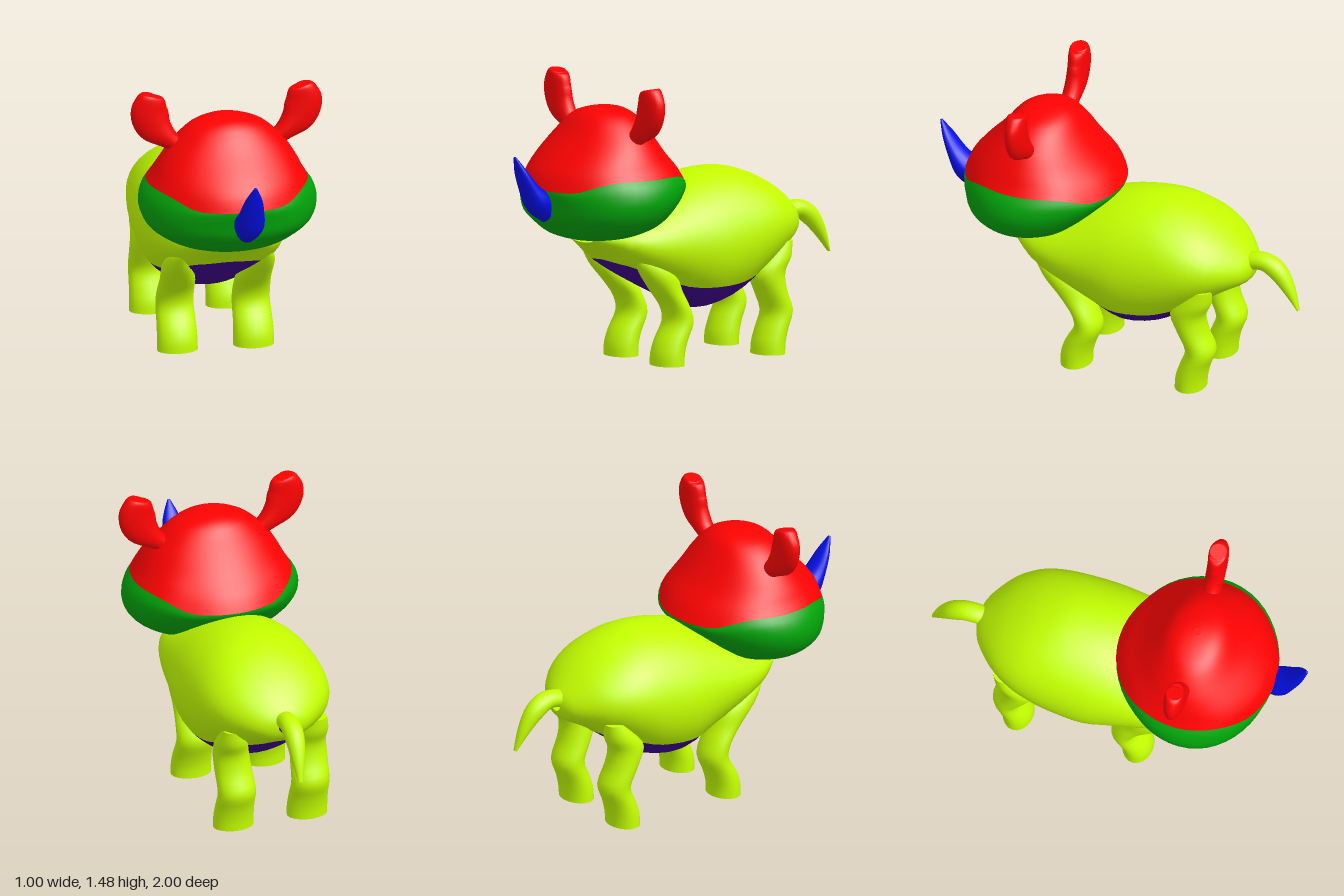
import * as THREE from 'three';

const V = (x, y, z) => new THREE.Vector3(x, y, z);
const LIME = 0xc4ff00, RED = 0xff0202, GREEN = 0x02a50a, BLUE = 0x040ee8, PURPLE = 0x400092;

// Resample rows of numbers with a spline through each column
function smooth(rows, steps = 3) {
  const curves = rows[0].map((_, k) => new THREE.SplineCurve(rows.map((r, i) => new THREE.Vector2(i, r[k]))));
  const n = (rows.length - 1) * steps;
  return Array.from({ length: n + 1 }, (_, i) => curves.map((c) => c.getPoint(i / n).y));
}

// Skin a list of rings (arrays of points); closed rings also get flat end caps
function skin(name, color, rings, closed = true) {
  const m = rings[0].length, pos = [], idx = [];
  const add = (p) => pos.push(p.x, p.y, p.z) / 3 - 1;
  rings.forEach((r) => r.forEach(add));
  for (let i = 0; i < rings.length - 1; i++) {
    for (let j = 0; j < (closed ? m : m - 1); j++) {
      const k = (j + 1) % m;
      const a = i * m + j, b = i * m + k, c = a + m, d = b + m;
      idx.push(a, b, d, a, d, c);
    }
  }
  if (closed) {
    [rings[0], rings[rings.length - 1]].forEach((ring, end) => {
      const mid = add(ring.reduce((s, p) => s.add(p), V(0, 0, 0)).divideScalar(m));
      const first = mid + 1;
      ring.forEach(add);
      for (let j = 0; j < m; j++) {
        const a = first + j, b = first + (j + 1) % m;
        idx.push(mid, end ? a : b, end ? b : a);
      }
    });
  }
  const geo = new THREE.BufferGeometry();
  geo.setAttribute('position', new THREE.Float32BufferAttribute(pos, 3));
  geo.setIndex(idx);
  geo.computeVertexNormals();
  const mat = new THREE.MeshStandardMaterial({ color, side: closed ? THREE.FrontSide : THREE.DoubleSide });
  const mesh = new THREE.Mesh(geo, mat);
  mesh.name = name;
  return mesh;
}

// Arc of an ellipse with half-axes u and v around c
function arc(c, u, v, from, to, n) {
  return Array.from({ length: n }, (_, j) => {
    const a = from + (to - from) * j / (n - 1);
    return c.clone().addScaledVector(u, Math.cos(a)).addScaledVector(v, Math.sin(a));
  });
}
const ellipse = (c, u, v, n) => arc(c, u, v, 0, Math.PI * 2 * (n - 1) / n, n);

// Stack of level rings: [y, x, z, rx, rz, lift], lift raises both sides
function stack(name, color, rows, n) {
  return skin(name, color, smooth(rows).map(([y, x, z, rx, rz, lift = 0]) => {
    const ring = ellipse(V(x, y, z), V(rx, 0, 0), V(0, 0, -rz), n);
    ring.forEach((p) => { p.y += lift * THREE.MathUtils.smoothstep(Math.abs(p.x - x) / rx, 0.5, 0.95); });
    return ring;
  }));
}

// Bent taper: [x, y, z, side radius, depth radius], side is a unit axis
function taper(name, color, rows, side) {
  const s = smooth(rows, 4), pts = s.map((r) => V(r[0], r[1], r[2]));
  return skin(name, color, s.map((r, i) => {
    const t = pts[Math.min(i + 1, s.length - 1)].clone().sub(pts[Math.max(i - 1, 0)]).normalize();
    const u = side.clone().multiplyScalar(r[3]);
    const v = t.cross(side).multiplyScalar(r[4]);
    return ellipse(pts[i], u, v, 20);
  }));
}

export function createModel() {
  const model = new THREE.Group();
  model.name = 'hornedAnimal';

  // Body, back to front: [z, top, bottom, half width, seam height]
  const trunk = smooth([
    [-0.75, 0.69, 0.62, 0.04, 0.6],
    [-0.72, 0.735, 0.57, 0.13, 0.55],
    [-0.62, 0.83, 0.515, 0.25, 0.505],
    [-0.51, 0.9, 0.44, 0.32, 0.455],
    [-0.4, 0.945, 0.36, 0.352, 0.435],
    [-0.27, 0.97, 0.28, 0.367, 0.4],
    [-0.1, 0.955, 0.25, 0.372, 0.39],
    [0.06, 0.91, 0.32, 0.352, 0.4],
    [0.25, 0.83, 0.42, 0.325, 0.47],
    [0.38, 0.78, 0.5, 0.285, 0.525],
    [0.46, 0.745, 0.57, 0.23, 0.55],
    [0.57, 0.71, 0.65, 0.12, 0.6],
  ]);
  const shell = (isBelly) => trunk.map(([z, top, bottom, w, seam]) => {
    const cy = (top + bottom) / 2, ry = (top - bottom) / 2;
    const s = Math.asin(THREE.MathUtils.clamp((cy - seam) / ry, 0, 1));
    const [from, to] = isBelly ? [Math.PI + s, Math.PI * 2 - s] : [-s, Math.PI + s];
    return arc(V(0.01, cy, z), V(w, 0, 0), V(0, ry, 0), from, to, isBelly ? 15 : 31);
  });
  model.add(skin('body', LIME, shell(false), false));
  model.add(skin('belly', PURPLE, shell(true), false));

  // Head in two parts meeting along a wavy seam
  const seam = [0.945, 0, 0.417, 0.415, 0.417, 0.06];
  model.add(stack('jaw', GREEN, [
    [0.66, 0, 0.5, 0.06, 0.05, 0],
    [0.668, 0, 0.485, 0.15, 0.13, 0],
    [0.695, 0, 0.487, 0.27, 0.21, 0],
    [0.74, 0, 0.465, 0.365, 0.285, 0],
    [0.8, 0, 0.458, 0.43, 0.345, 0],
    [0.87, 0, 0.435, 0.46, 0.385, 0.01],
    [0.92, 0, 0.42, 0.448, 0.412, 0.035],
    seam,
  ], 48));
  model.add(stack('skullCap', RED, [
    seam,
    [1.02, 0, 0.425, 0.388, 0.38, 0.03],
    [1.1, 0, 0.43, 0.357, 0.31, 0.01],
    [1.2, 0, 0.42, 0.297, 0.225, 0],
    [1.295, 0, 0.415, 0.195, 0.152, 0],
    [1.332, 0, 0.415, 0.09, 0.09, 0],
    [1.342, 0, 0.415, 0.02, 0.02, 0],
  ], 48));

  // Nose horn
  model.add(taper('horn', BLUE, [
    [0.02, 0.85, 0.78, 0.06, 0.08],
    [0.02, 0.89, 0.85, 0.078, 0.07],
    [0.02, 0.96, 0.905, 0.066, 0.045],
    [0.02, 1.05, 0.955, 0.045, 0.026],
    [0.02, 1.13, 0.994, 0.007, 0.006],
  ], V(1, 0, 0)));

  // Tail
  model.add(taper('tail', LIME, [
    [0.01, 0.675, -0.69, 0.05, 0.045],
    [0.01, 0.693, -0.8, 0.052, 0.047],
    [0.01, 0.65, -0.88, 0.05, 0.05],
    [0.015, 0.56, -0.945, 0.035, 0.032],
    [0.02, 0.455, -0.997, 0.012, 0.006],
  ], V(1, 0, 0)));

  for (const side of [1, -1]) {
    const label = side > 0 ? 'left' : 'right';

    // Paddle ears
    const ear = taper(label + 'Ear', RED, [
      [0.25, 1.19, 0.41, 0.04, 0.04],
      [0.31, 1.235, 0.41, 0.048, 0.055],
      [0.375, 1.3, 0.41, 0.05, 0.09],
      [0.404, 1.37, 0.41, 0.05, 0.098],
      [0.404, 1.43, 0.41, 0.05, 0.085],
      [0.404, 1.462, 0.41, 0.048, 0.064],
      [0.402, 1.474, 0.41, 0.043, 0.04],
    ], V(0, 0, 1));
    ear.scale.x = side;
    model.add(ear);

    // Legs
    model.add(stack(label + 'FrontLeg', LIME, [
      [0, side * 0.2, 0.16, 0.107, 0.08],
      [0.06, side * 0.2, 0.157, 0.106, 0.08],
      [0.13, side * 0.2, 0.135, 0.103, 0.078],
      [0.22, side * 0.2, 0.093, 0.1, 0.072],
      [0.3, side * 0.2, 0.113, 0.098, 0.068],
      [0.38, side * 0.2, 0.165, 0.092, 0.08],
      [0.47, side * 0.215, 0.225, 0.078, 0.1],
      [0.54, side * 0.222, 0.285, 0.052, 0.085],
      [0.58, side * 0.218, 0.33, 0.025, 0.06],
    ], 20));
    model.add(stack(label + 'HindLeg', LIME, [
      [0, side * 0.2, -0.477, 0.107, 0.08],
      [0.06, side * 0.2, -0.482, 0.106, 0.08],
      [0.13, side * 0.2, -0.502, 0.103, 0.077],
      [0.22, side * 0.2, -0.532, 0.1, 0.078],
      [0.32, side * 0.205, -0.492, 0.098, 0.08],
      [0.42, side * 0.21, -0.465, 0.092, 0.095],
      [0.5, side * 0.22, -0.51, 0.08, 0.085],
      [0.58, side * 0.23, -0.55, 0.05, 0.05],
    ], 20));
  }
  return model;
}
